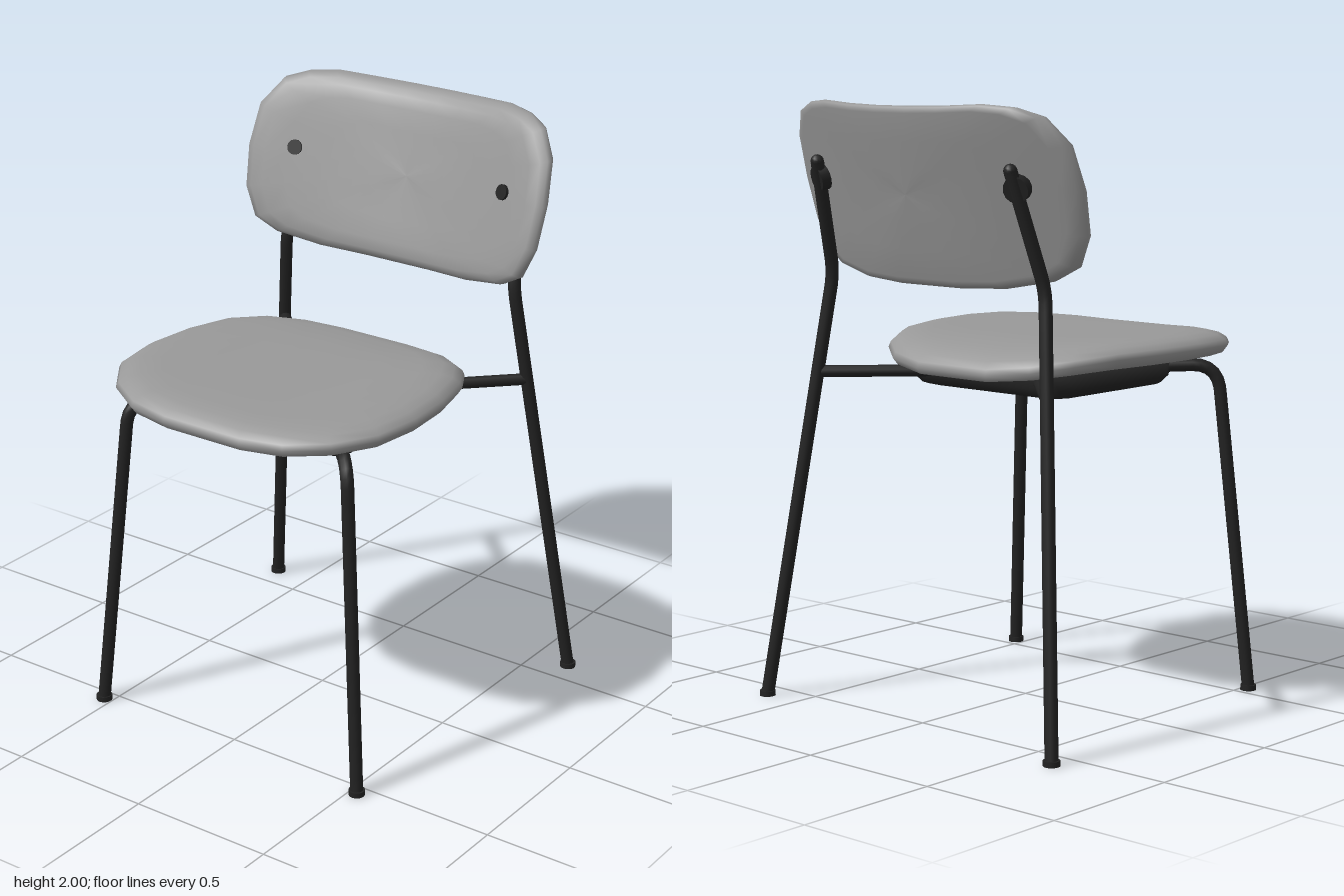
import * as THREE from 'three';

const fabric = new THREE.MeshStandardMaterial({ color: 0x999999 });
fabric.name = 'greyFabric';
const metal = new THREE.MeshStandardMaterial({ color: 0x222222 });
metal.name = 'blackMetal';

const V = (x, y, z) => new THREE.Vector3(x, y, z);

function add(parent, name, geometry, material) {
  const mesh = new THREE.Mesh(geometry, material);
  mesh.name = name;
  parent.add(mesh);
  return mesh;
}

// Complete a half outline (x > 0) with its mirror image
const mirrored = (half) => [...half, ...half.map(([x, v]) => [-x, v]).reverse()];

// Loft scaled copies of an outline; place(u, v, height) puts each point in space
function loft(outline, centre, rings, place) {
  const positions = [], index = [], n = outline.length;
  rings.forEach(([scale, h], i) => {
    outline.forEach(([u, v], j) => {
      positions.push(...place(u * scale, centre + (v - centre) * scale, h));
      if (i === rings.length - 1) return;
      const a = i * n + j, b = i * n + (j + 1) % n;
      index.push(a, b, a + n, b, b + n, a + n);
    });
  });
  const g = new THREE.BufferGeometry();
  g.setAttribute('position', new THREE.Float32BufferAttribute(positions, 3));
  g.setIndex(index);
  g.computeVertexNormals();
  return g;
}

// Round tube along straight runs with rounded corners
function bentTube(points, bend, radius) {
  const path = new THREE.CurvePath();
  let from = points[0];
  for (let i = 1; i < points.length - 1; i++) {
    const p = points[i];
    const before = p.clone().add(points[i - 1].clone().sub(p).setLength(bend));
    const after = p.clone().add(points[i + 1].clone().sub(p).setLength(bend));
    path.add(new THREE.LineCurve3(from, before));
    path.add(new THREE.QuadraticBezierCurve3(before, p, after));
    from = after;
  }
  path.add(new THREE.LineCurve3(from, points[points.length - 1]));
  return new THREE.TubeGeometry(path, 64, radius, 10);
}

// Short round pin centred at a point, along a direction
function pin(parent, name, at, direction, radius, length) {
  const m = add(parent, name, new THREE.CylinderGeometry(radius, radius, length, 14), metal);
  m.position.copy(at);
  m.quaternion.setFromUnitVectors(V(0, 1, 0), direction.clone().normalize());
}

// Rear face of the curved, reclined backrest
const backZ = (x, y) => -0.48 - 0.29 * (y - 1.42) + 0.4 * x * x;

export function createModel() {
  const chair = new THREE.Group();
  chair.name = 'chair';

  // Saddle-shaped seat cushion
  const seatOutline = mirrored([
    [0.15, 0.65], [0.3, 0.625], [0.43, 0.545], [0.52, 0.42], [0.545, 0.25],
    [0.53, 0.07], [0.485, -0.1], [0.41, -0.23], [0.3, -0.32], [0.15, -0.363],
  ]);
  const seatRings = [
    [0, 0], [0.5, 0], [0.9, 0], [0.97, 0.01], [1, 0.033], [0.985, 0.052],
    [0.94, 0.07], [0.87, 0.082], [0.75, 0.089], [0.5, 0.09], [0.25, 0.09], [0, 0.09],
  ];
  add(chair, 'seatCushion', loft(seatOutline, 0.14, seatRings, (x, z, h) =>
    [x, 1.13 + 0.1 * x * x - 0.35 * Math.min(0, z + 0.05) ** 2 + h, z]), fabric);

  // Tapered pan below the seat
  const panOutline = mirrored([
    [0.28, 0.38], [0.33, 0.36], [0.35, 0.31], [0.35, -0.15], [0.33, -0.2], [0.28, -0.22],
  ]);
  const panRings = [[0, 1.045], [0.82, 1.047], [0.92, 1.055], [0.98, 1.08], [1, 1.13], [0, 1.13]];
  add(chair, 'underseatPan', loft(panOutline, 0.08, panRings, (x, z, h) => [x, h, z]), metal);

  // Backrest cushion
  const backOutline = mirrored([
    [0.13, 1.417], [0.3, 1.425], [0.46, 1.455], [0.54, 1.5], [0.585, 1.6], [0.597, 1.74],
    [0.582, 1.88], [0.52, 1.965], [0.44, 1.992], [0.34, 2], [0.2, 1.993], [0.07, 1.99],
  ]);
  const backRings = [
    [0, 0], [0.3, 0], [0.6, 0], [0.92, 0], [0.98, 0.007], [1, 0.025], [0.99, 0.048],
    [0.95, 0.066], [0.88, 0.079], [0.75, 0.085], [0.5, 0.085], [0.25, 0.085], [0, 0.085],
  ];
  add(chair, 'backrestCushion', loft(backOutline, 1.71, backRings, (x, y, h) =>
    [x, y, backZ(x, y) + h]), fabric);

  for (const s of [1, -1]) {
    const side = s > 0 ? 'left' : 'right';
    const frame = new THREE.Group();
    frame.name = side + 'Frame';
    chair.add(frame);
    const hub = V(0, 1.1, 0.04);

    // Rear leg continuing up behind the backrest
    const top = V(s * 0.42, 1.8, -0.54);
    add(frame, 'rearLeg', bentTube([V(s * 0.635, 0.005, -0.593), V(s * 0.465, 1.43, -0.43), top], 0.05, 0.022), metal);
    add(frame, 'rearLegCap', new THREE.SphereGeometry(0.022, 10, 8), metal).position.copy(top);

    // Bar from the rear leg to the middle of the frame
    add(frame, 'seatBar', bentTube([V(s * 0.504, 1.1, -0.467), hub], 0, 0.02), metal);

    // Front leg bending inwards under the seat
    add(frame, 'frontLeg', bentTube([V(s * 0.53, 0.005, 0.543), V(s * 0.437, 1.115, 0.475), hub], 0.09, 0.022), metal);

    // Foot caps
    for (const [x, z] of [[0.635, -0.593], [0.53, 0.543]]) {
      pin(frame, 'foot', V(s * x, 0.009, z), V(0, 1, 0), 0.027, 0.018);
    }

    // Button on the cushion front and mounting boss behind
    const z = backZ(0.42, 1.75), normal = V(-s * 0.34, 0.29, 1);
    pin(frame, 'backrestButton', V(s * 0.42, 1.75, z + 0.085), normal, 0.026, 0.02);
    pin(frame, 'backrestBoss', V(s * 0.427, 1.745, z - 0.01), normal, 0.042, 0.035);
  }
  return chair;
}
